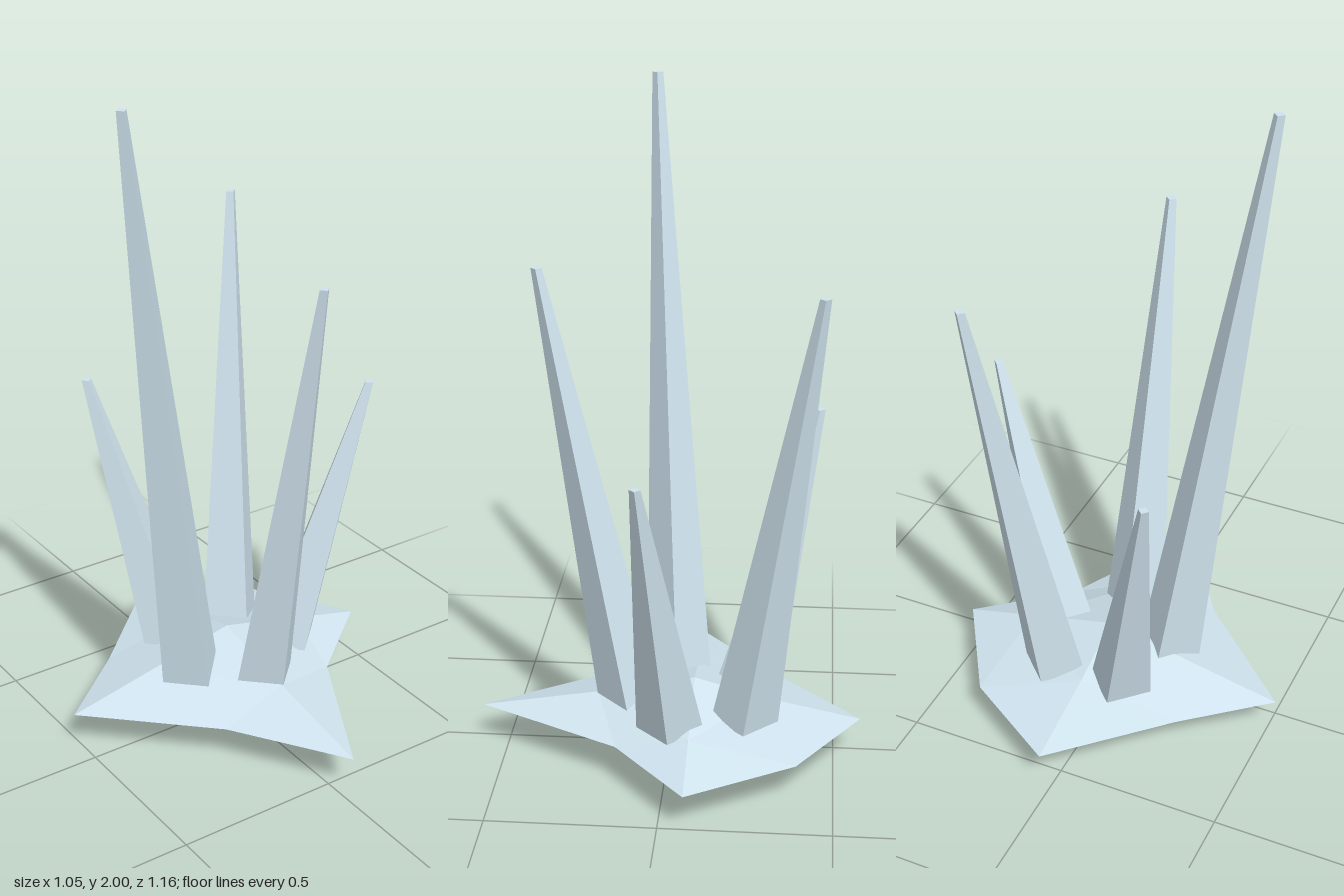
import * as THREE from 'three';

const material = new THREE.MeshStandardMaterial({ color: 0xcfe3ee, flatShading: true });
const CX = 0.03, CZ = -0.075, RIM = 0.12;

// Faceted rock: four rim points, notches between them, an apex above and below
function rockBase() {
  const corners = [[CX, 0.577], [0.525, CZ], [CX, -0.58], [-0.525, CZ]];
  const notches = [[0.26, 0.145], [0.33, -0.39], [-0.28, -0.28], [-0.19, 0.245]];
  // Ridge points halfway from apex to corner: x, y, z
  const topRidge = [[CX, 0.18, 0.22], [0.3, 0.175, CZ], [CX, 0.18, -0.29], [-0.24, 0.18, CZ]];
  const lowRidge = [[CX, 0.06, 0.25], [0.26, 0.07, CZ], [CX, 0.055, -0.37], [-0.25, 0.06, CZ]];
  const pos = [];
  const half = (apex, ridge, flip) => {
    const tri = (a, b, c) => pos.push(...a, ...(flip ? c : b), ...(flip ? b : c));
    for (let i = 0; i < 4; i++) {
      const j = (i + 1) % 4;
      const rim = ([x, z]) => [x, RIM, z];
      const a = rim(corners[i]), b = rim(corners[j]), n = rim(notches[i]);
      tri(apex, ridge[i], ridge[j]);
      tri(ridge[i], a, n);
      tri(ridge[i], n, ridge[j]);
      tri(ridge[j], n, b);
    }
  };
  half([CX, 0.24, CZ], topRidge, false);
  half([CX, 0, CZ], lowRidge, true);
  const geometry = new THREE.BufferGeometry();
  geometry.setAttribute('position', new THREE.Float32BufferAttribute(pos, 3));
  geometry.computeVertexNormals();
  const mesh = new THREE.Mesh(geometry, material);
  mesh.name = 'rockBase';
  return mesh;
}

// Four-sided tapering spike, sheared so its tip lands at the given point
function spike(name, x, z, tipX, tipY, tipZ) {
  const foot = 0.165, height = tipY - foot;
  const geometry = new THREE.CylinderGeometry(0.016, 0.1, height, 4);
  geometry.translate(0, height / 2, 0);
  const p = geometry.attributes.position;
  for (let i = 0; i < p.count; i++) {
    const t = p.getY(i) / height;
    p.setX(i, p.getX(i) + t * (tipX - x));
    p.setZ(i, p.getZ(i) + t * (tipZ - z));
  }
  geometry.computeVertexNormals();
  const mesh = new THREE.Mesh(geometry, material);
  mesh.name = name;
  mesh.position.set(x, foot, z);
  return mesh;
}

export function createModel() {
  const group = new THREE.Group();
  group.name = 'crystalCluster';
  group.add(rockBase());

  // Ring of five spikes leaning outward: tip x, y, z
  const spikes = [
    ['frontSpike', 0.037, 1.515, 0.378],
    ['leftSpike', 0.46, 1.02, 0.06],
    ['backLeftSpike', 0.293, 1.515, -0.438],
    ['backRightSpike', -0.238, 1.02, -0.433],
    ['rightSpike', -0.392, 2.0, 0.07],
  ];
  spikes.forEach(([name, tx, ty, tz], i) => {
    const a = (i * Math.PI * 2) / 5;
    group.add(spike(name, 0.035 + 0.19 * Math.sin(a), CZ + 0.195 * Math.cos(a), tx, ty, tz));
  });
  return group;
}
